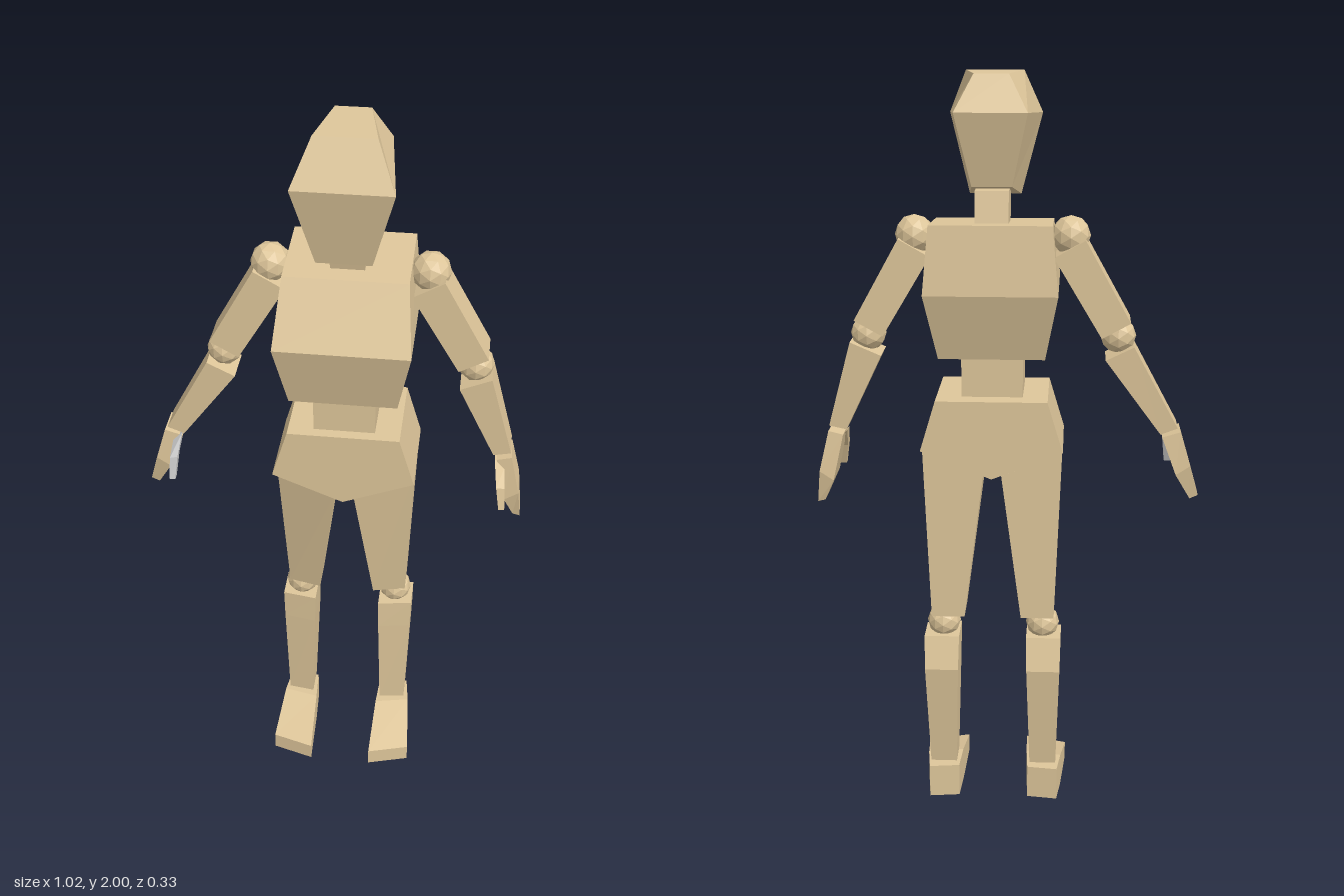
import * as THREE from 'three';

const wood = new THREE.MeshStandardMaterial({ color: 0xdec69a, flatShading: true });
const grey = new THREE.MeshStandardMaterial({ color: 0xcccccc, flatShading: true });

// Four-cornered ring from a left and a right edge point, front depths (left, right) and back depth.
// back narrows the rear edge, lift raises it.
const ring = ([ax, ay, bx, by, zf, zb, zfB = zf, back = 1, lift = 0]) => {
  const mid = (ax + bx) / 2;
  return [[ax, ay, zf], [bx, by, zfB],
    [mid + (bx - mid) * back, by + lift, zb], [mid + (ax - mid) * back, ay + lift, zb]];
};

// Level ring centred on x = 0
const level = (y, half, zf, zb, back, lift) => ring([-half, y, half, y, zf, zb, zf, back, lift]);

// Reflects a ring across x = 0, keeping its winding
const mirror = (r) => [1, 0, 3, 2].map((i) => [-r[i][0], r[i][1], r[i][2]]);

// Closed faceted solid through a stack of four-cornered rings
function loft(rings) {
  const pos = [];
  const face = (a, b, c, d) => pos.push(...a, ...b, ...c, ...a, ...c, ...d);
  for (let i = 0; i < rings.length - 1; i++) {
    const p = rings[i], q = rings[i + 1];
    for (let j = 0; j < 4; j++) {
      const k = (j + 1) % 4;
      face(p[j], p[k], q[k], q[j]);
    }
  }
  const first = rings[0], last = rings[rings.length - 1];
  face(first[3], first[2], first[1], first[0]);
  face(...last);
  const geo = new THREE.BufferGeometry();
  geo.setAttribute('position', new THREE.Float32BufferAttribute(pos, 3));
  geo.computeVertexNormals();
  return geo;
}

export function createModel() {
  const model = new THREE.Group();
  model.name = 'jointedFigure';
  const body = new THREE.Group();
  body.name = 'body';
  body.position.x = 0.037;
  model.add(body);

  const add = (name, geo, material = wood) => {
    const mesh = new THREE.Mesh(geo, material);
    mesh.name = name;
    body.add(mesh);
    return mesh;
  };
  const ball = (name, r, x, y, z) =>
    add(name, new THREE.IcosahedronGeometry(r, 1)).position.set(x, y, z);
  const pair = (name, rings) => {
    add('right' + name, loft(rings));
    add('left' + name, loft(rings.map(mirror)));
  };
  const ballPair = (name, r, x, y, z) => {
    ball('right' + name, r, -x, y, z);
    ball('left' + name, r, x, y, z);
  };

  // Head, neck and trunk
  add('head', loft([
    level(1.685, 0.068, 0.11, -0.07, 0.75, 0.04),
    level(1.89, 0.122, 0.158, -0.12, 0.75, 0.02),
    level(2.0, 0.075, 0.1, -0.07, 0.58),
  ]));
  add('neck', loft([level(1.62, 0.043, 0.03, -0.09), level(1.715, 0.043, 0.05, -0.07)]));
  add('chest', loft([
    level(1.29, 0.138, 0.12, -0.11),
    level(1.465, 0.171, 0.167, -0.165),
    level(1.625, 0.155, 0.08, -0.148, 1, 0.015),
  ]));
  add('waist', loft([level(1.17, 0.08, 0.085, -0.085), level(1.3, 0.08, 0.085, -0.085)]));

  // Pelvis, a five-sided slab
  const outline = new THREE.Shape([[0, 0.972], [0.187, 1.047], [0.146, 1.183], [-0.146, 1.183], [-0.187, 1.047]]
    .map(([x, y]) => new THREE.Vector2(x, y)));
  add('pelvis', new THREE.ExtrudeGeometry(outline, { depth: 0.25, bevelEnabled: false }).translate(0, 0, -0.135));

  // Legs, turned slightly outward
  pair('Thigh', [
    [-0.167, 0.56, -0.077, 0.56, -0.02, -0.1, 0],
    [-0.185, 1.035, -0.024, 0.97, 0.05, -0.1, 0.078],
  ].map(ring));
  ballPair('Knee', 0.046, 0.136, 0.535, -0.062);
  pair('Shin', [
    [-0.176, 0.11, -0.103, 0.11, -0.025, -0.095, -0.015],
    [-0.185, 0.415, -0.094, 0.415, -0.02, -0.135, -0.005],
    [-0.187, 0.505, -0.092, 0.505, -0.02, -0.11, -0.005],
  ].map(ring));

  // Feet run from heel over ankle to toe
  const footRing = (xo, zo, xi, zi, top) => [[xo, 0, zo], [xi, 0, zi], [xi, top, zi], [xo, top, zo]];
  pair('Foot', [
    footRing(-0.18, -0.105, -0.097, -0.095, 0.095),
    footRing(-0.19, -0.025, -0.092, -0.005, 0.095),
    footRing(-0.202, 0.128, -0.087, 0.16, 0.05),
  ]);

  // Upper arms and joints
  ballPair('Shoulder', 0.051, 0.2, 1.6, -0.035);
  pair('UpperArm', [
    [-0.357, 1.383, -0.283, 1.342, 0.015, -0.088],
    [-0.238, 1.595, -0.158, 1.55, 0.015, -0.088],
  ].map(ring));
  ballPair('Elbow', 0.047, 0.326, 1.341, -0.035);

  // Forearms and hands, each posed differently
  const lower = (name, sections, material) => add(name, loft(sections.map(ring)), material);
  lower('rightForearm', [
    [-0.487, 1.1, -0.442, 1.083, 0.01, -0.073],
    [-0.367, 1.32, -0.294, 1.284, 0.018, -0.085],
  ]);
  lower('leftForearm', [
    [0.388, 1.085, 0.434, 1.095, 0.01, -0.073],
    [0.289, 1.29, 0.37, 1.325, 0.018, -0.085],
  ]);
  lower('rightHand', [
    [-0.547, 0.915, -0.525, 0.905, 0.0, -0.07],
    [-0.522, 1.0, -0.485, 0.975, 0.018, -0.085],
    [-0.495, 1.09, -0.447, 1.075, 0.01, -0.073],
  ]);
  lower('leftHand', [
    [0.453, 0.885, 0.473, 0.88, 0.0, -0.07],
    [0.426, 0.945, 0.463, 0.97, 0.018, -0.085],
    [0.398, 1.07, 0.437, 1.08, 0.01, -0.073],
  ]);

  // Thumbs bend forward from the palm
  lower('rightThumb', [
    [-0.478, 0.97, -0.462, 0.97, 0.07, 0.05],
    [-0.476, 1.03, -0.455, 1.035, 0.055, 0.025],
    [-0.474, 1.06, -0.448, 1.085, 0.01, -0.03],
  ], grey);
  lower('leftThumb', [
    [0.412, 0.95, 0.428, 0.95, 0.07, 0.05],
    [0.402, 1.01, 0.424, 1.01, 0.055, 0.025],
    [0.393, 1.07, 0.42, 1.045, 0.01, -0.03],
  ]);

  return model;
}
